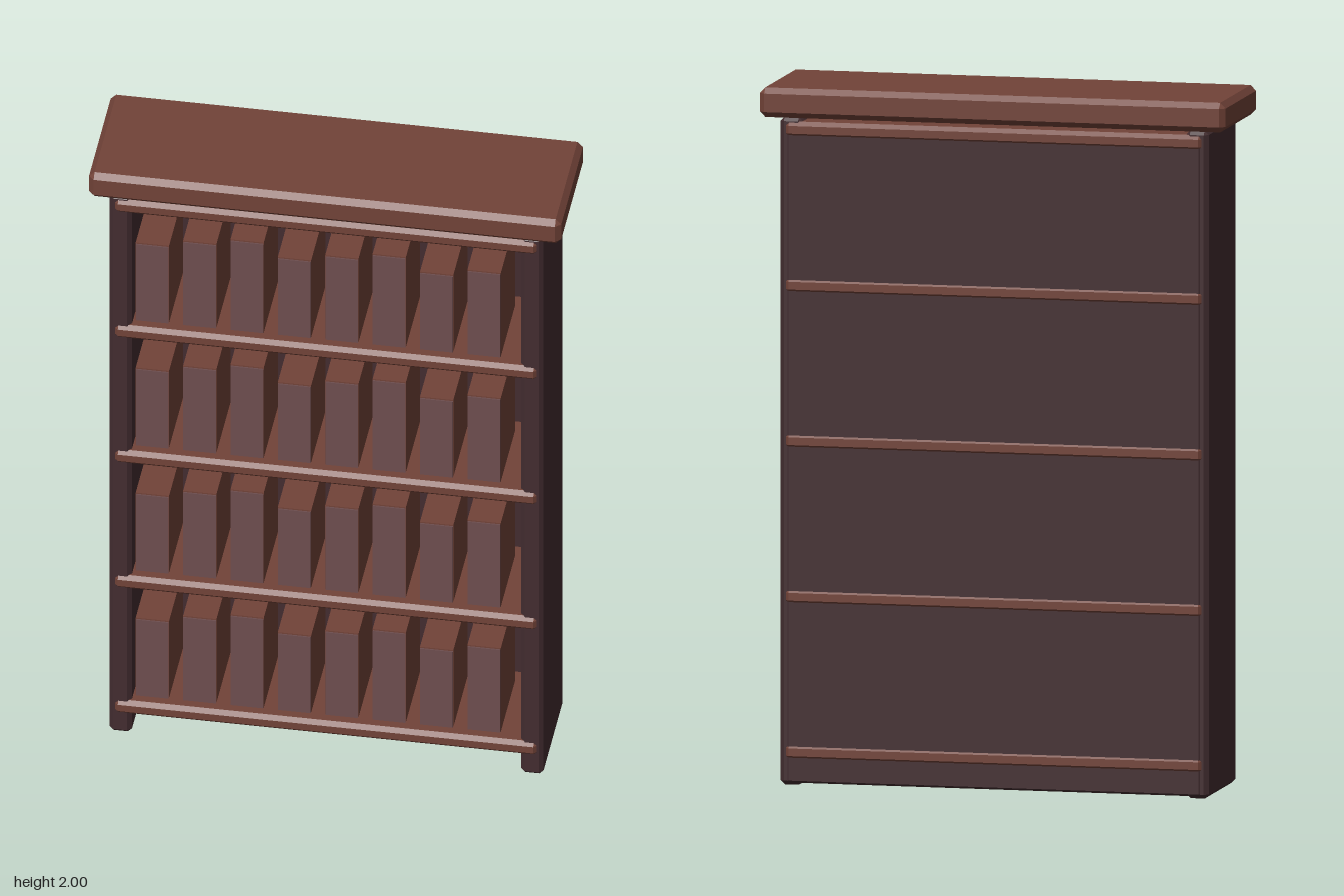
import * as THREE from 'three';
import { ConvexGeometry } from 'three/addons/geometries/ConvexGeometry.js';

const material = (name, color) => {
  const m = new THREE.MeshStandardMaterial({ color });
  m.name = name;
  return m;
};

// Box with a flat chamfer of size b on every edge
function chamferBox(w, h, d, b) {
  const pts = [];
  for (const x of [-1, 1]) for (const y of [-1, 1]) for (const z of [-1, 1]) {
    const X = w / 2, Y = h / 2, Z = d / 2;
    pts.push(
      new THREE.Vector3(x * X, y * (Y - b), z * (Z - b)),
      new THREE.Vector3(x * (X - b), y * Y, z * (Z - b)),
      new THREE.Vector3(x * (X - b), y * (Y - b), z * Z)
    );
  }
  return new ConvexGeometry(pts);
}

export function createModel() {
  const group = new THREE.Group();
  group.name = 'bookcase';
  const brown = material('brown wood', 0x724338);
  const dark = material('dark wood', 0x432d30);
  const mauve = material('mauve spine', 0x6e4e4f);

  const add = (parent, name, geometry, mat, x, y, z) => {
    const mesh = new THREE.Mesh(geometry, mat);
    mesh.name = name;
    mesh.position.set(x, y, z);
    parent.add(mesh);
  };

  // Carcass: crown, two sides and back
  add(group, 'crown', chamferBox(1.36, 0.085, 0.4, 0.016), brown, 0, 1.9575, 0);
  const side = chamferBox(0.065, 1.915, 0.345, 0.012);
  add(group, 'leftSide', side, dark, 0.5925, 0.9575, 0);
  add(group, 'rightSide', side, dark, -0.5925, 0.9575, 0);
  add(group, 'backPanel', chamferBox(1.21, 1.89, 0.03, 0.006), dark, 0, 0.952, -0.161);

  // Shelves, standing slightly proud at front and back
  const shelf = chamferBox(1.22, 0.046, 0.362, 0.012);
  const shelfY = [0.095, 0.541, 0.987, 1.433, 1.88];
  shelfY.forEach((y, i) => add(group, 'shelf' + (i + 1), shelf, brown, 0, y, 0));

  // Books: brown blocks with a mauve spine on the front
  const heights = [0.262, 0.286, 0.308];
  const depth = 0.24, front = 0.14;
  for (let row = 0; row < 4; row++) {
    const books = new THREE.Group();
    books.name = 'bookRow' + (row + 1);
    const bottom = shelfY[row] + 0.023;
    for (let i = 0; i < 8; i++) {
      const x = -0.505 + i * 0.1364, h = heights[i % 3] + 0.012;
      add(books, 'book', new THREE.BoxGeometry(0.096, h, depth), brown,
        x, bottom + h / 2, front - depth / 2);
      add(books, 'spine', new THREE.BoxGeometry(0.094, h - 0.004, 0.004), mauve,
        x, bottom + h / 2 - 0.002, front + 0.002);
    }
    group.add(books);
  }
  return group;
}
